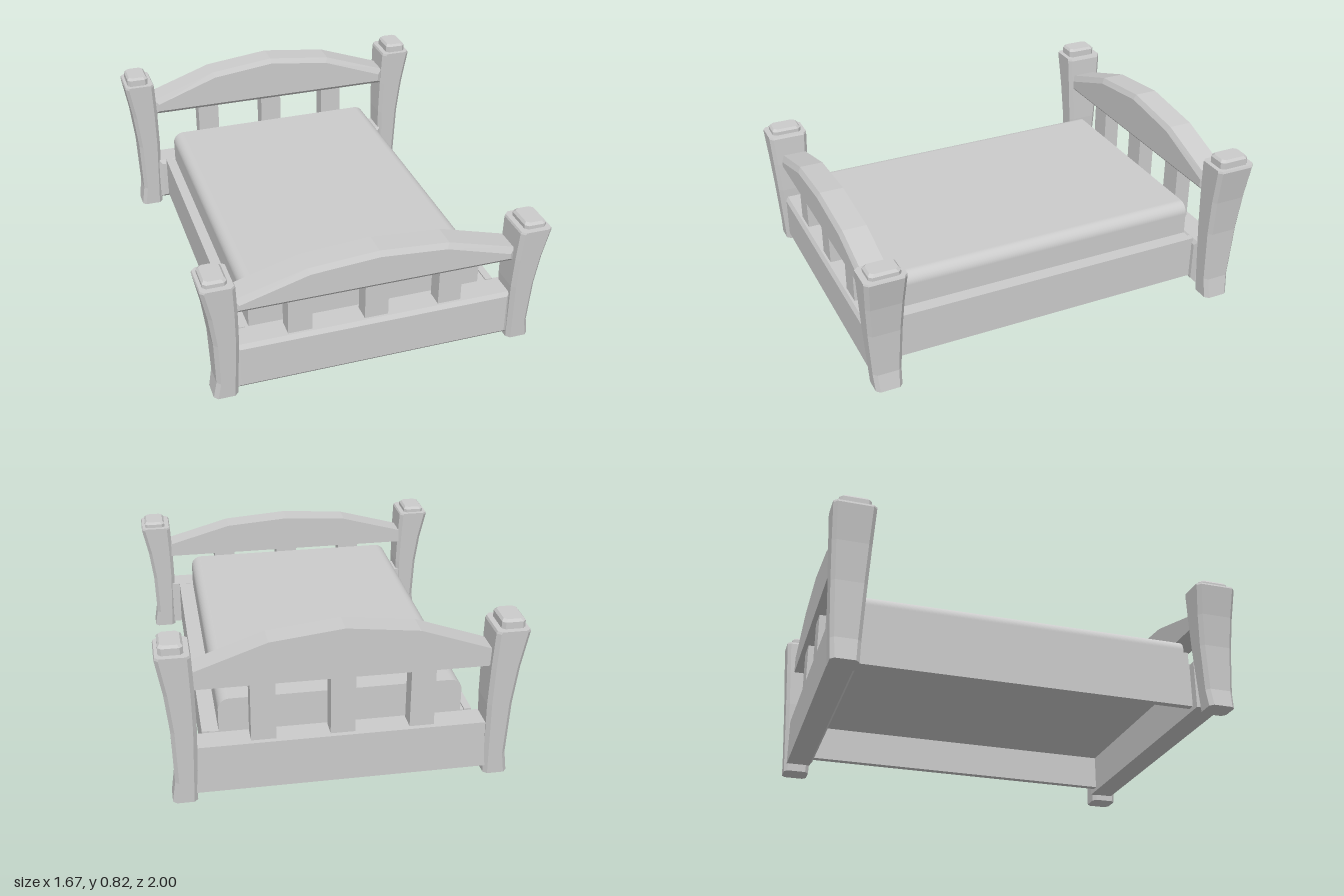
import * as THREE from 'three';

const material = new THREE.MeshStandardMaterial({ color: 0xcccccc, flatShading: true });
const smoothMaterial = new THREE.MeshStandardMaterial({ color: 0xcccccc });

// Solid through a stack of convex rings with equal point counts, closed at both ends
function loft(rings) {
  const pos = [];
  const tri = (a, b, c) => pos.push(...a, ...b, ...c);
  const n = rings[0].length;
  const centre = (r) => [0, 1, 2].map((k) => r.reduce((s, p) => s + p[k], 0) / n);
  const first = rings[0], last = rings[rings.length - 1];
  const c0 = centre(first), c1 = centre(last);
  for (let i = 0; i < n; i++) {
    const j = (i + 1) % n;
    for (let k = 0; k < rings.length - 1; k++) {
      const a = rings[k], b = rings[k + 1];
      tri(a[i], a[j], b[j]);
      tri(a[i], b[j], b[i]);
    }
    tri(c0, first[j], first[i]);
    tri(c1, last[i], last[j]);
  }
  const g = new THREE.BufferGeometry();
  g.setAttribute('position', new THREE.Float32BufferAttribute(pos, 3));
  g.computeVertexNormals();
  return g;
}

// Chamfered rectangle at height y, counter-clockwise from above
function postRing(y, x0, x1, z0, z1, c) {
  return [
    [x0 + c, y, z1], [x1 - c, y, z1], [x1, y, z1 - c], [x1, y, z0 + c],
    [x1 - c, y, z0], [x0 + c, y, z0], [x0, y, z0 + c], [x0, y, z1 - c],
  ];
}

// Board with a flat underside and given top points, bevelled on its +z face
function board(bottom, top, z0, z1, b) {
  const ring = (z, inset) => {
    const sx = 1 - inset / 0.68;
    return [
      [-0.68 * sx, bottom + inset * 0.7, z], [0.68 * sx, bottom + inset * 0.7, z],
      ...top.map(([x, y]) => [x * sx, y - inset, z]),
    ];
  };
  return loft([ring(z0, 0), ring(z1 - b * 0.6, 0), ring(z1, b)]);
}

export function createModel() {
  const bed = new THREE.Group();
  bed.name = 'bed';
  const add = (parent, name, geometry, mat = material) => {
    const m = new THREE.Mesh(geometry, mat);
    m.name = name;
    parent.add(m);
    return m;
  };
  const box = (parent, name, w, h, d, x, y, z) =>
    add(parent, name, new THREE.BoxGeometry(w, h, d)).position.set(x, y, z);

  // Post outline: height fraction, inner x, outer x
  const profile = [
    [0, 0.675, 0.79], [0.14, 0.672, 0.775], [0.5, 0.665, 0.783],
    [0.75, 0.668, 0.803], [0.985, 0.675, 0.834], [1, 0.68, 0.83],
  ];

  const ends = [
    { name: 'footboard', s: 1, base: 0.01, height: 0.64, cap: 0.67, rail: 0.46, arch: [0.53, 0.625, 0.65] },
    { name: 'headboard', s: -1, base: 0, height: 0.77, cap: 0.815, rail: 0.58, arch: [0.665, 0.785, 0.825] },
  ];

  for (const e of ends) {
    const end = new THREE.Group();
    end.name = e.name;
    bed.add(end);
    const span = (a, b, s) => (s > 0 ? [a, b] : [-b, -a]);

    // Flared corner posts with stepped caps
    for (const side of [1, -1]) {
      const rings = profile.map(([t, a, b]) => postRing(
        e.base + (e.height - e.base) * t, ...span(a, b, side),
        ...span(0.832 - 0.035 * t, 0.962 + 0.038 * t, e.s), 0.018));
      add(end, 'post', loft(rings));
      const capRing = (y, i) => postRing(
        y, ...span(0.705 + i, 0.815 - i, side), ...span(0.82 + i, 0.972 - i, e.s), 0.015);
      add(end, 'postCap', loft([
        capRing(e.height - 0.01, 0), capRing(e.cap - 0.012, 0), capRing(e.cap, 0.01),
      ]));
    }

    // Arched top rail and lower panel
    const [z0, z1] = span(0.818, 0.952, e.s);
    const [edge, shoulder, crown] = e.arch;
    add(end, 'archedRail', board(e.rail,
      [[0.68, edge], [0.34, shoulder], [0, crown], [-0.34, shoulder], [-0.68, edge]], z0, z1, 0.026));
    add(end, 'lowerPanel', board(0.04, [[0.68, 0.28], [-0.68, 0.28]], z0, z1, 0.022));

    // Slats between panel and rail
    for (const x of [-0.37, 0, 0.365]) {
      box(end, 'slat', 0.115, e.rail - 0.26, 0.085, x, (e.rail + 0.28) / 2, e.s * 0.885);
    }
  }

  // Side rails and the platform under the mattress
  for (const side of [1, -1]) {
    box(bed, 'sideRail', 0.035, 0.225, 1.65, side * 0.62, 0.1725, 0);
  }
  box(bed, 'platform', 1.22, 0.04, 1.64, 0, 0.258, 0);

  // Mattress with rounded upper edges
  const l = -0.585, r = 0.56, top = 0.445, c = 0.055;
  const shape = new THREE.Shape();
  shape.moveTo(l, 0.25);
  shape.lineTo(r, 0.25);
  shape.lineTo(r, top - c);
  shape.absarc(r - c, top - c, c, 0, Math.PI / 2, false);
  shape.lineTo(l + c, top);
  shape.absarc(l + c, top - c, c, Math.PI / 2, Math.PI, false);
  shape.closePath();
  const mattress = new THREE.ExtrudeGeometry(shape, { depth: 1.64, bevelEnabled: false, curveSegments: 8 });
  mattress.translate(0, 0, -0.82);
  add(bed, 'mattress', mattress, smoothMaterial);

  return bed;
}
